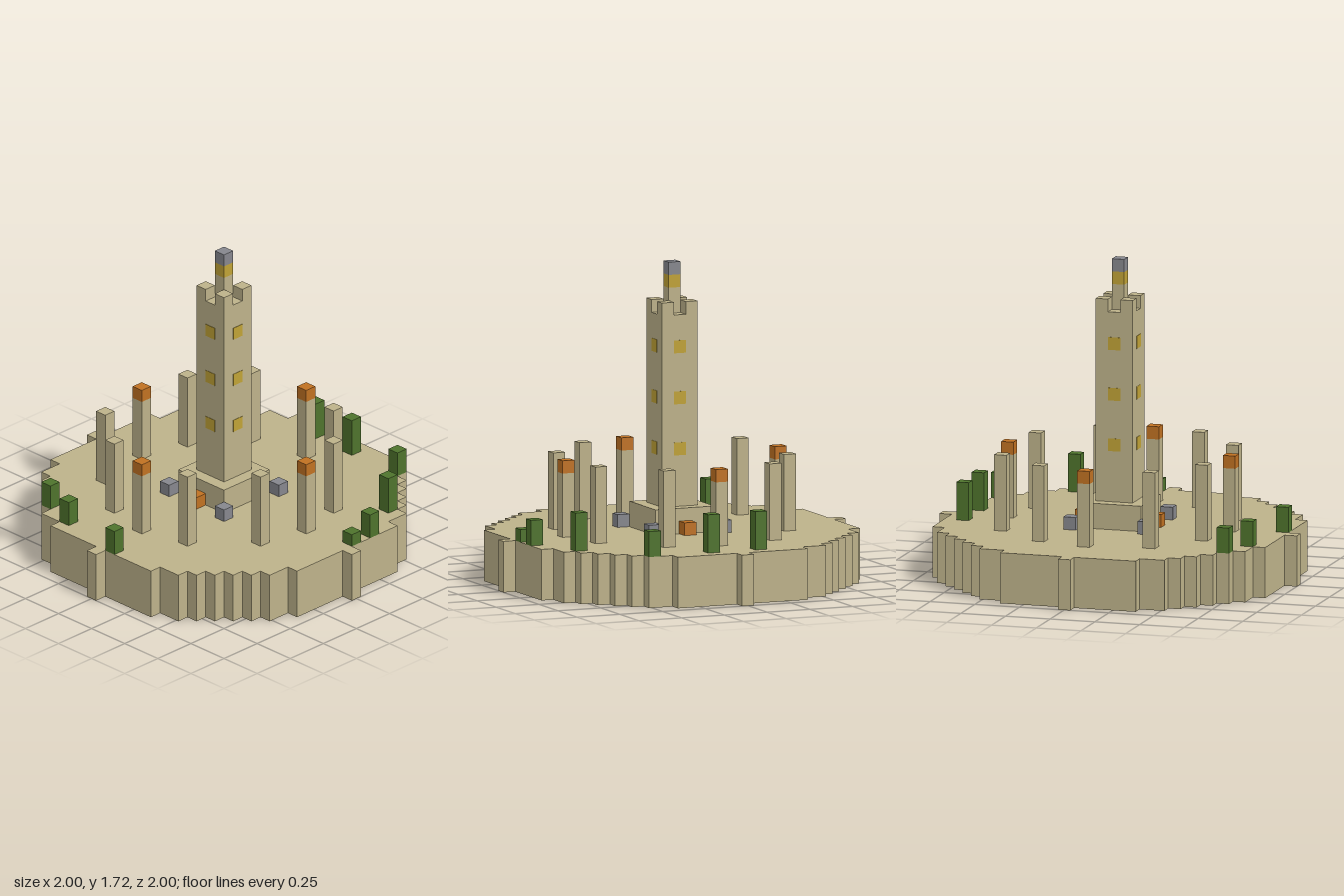
import * as THREE from 'three';

// One block of the grid; the island is 29 blocks wide
const U = 2 / 29;

const mat = (name, color) => {
  const m = new THREE.MeshStandardMaterial({ color });
  m.name = name;
  return m;
};

export function createModel() {
  const sand = mat('sandstone', 0xbdb28a);
  const green = mat('cactusGreen', 0x4e732c);
  const orange = mat('orange', 0xc07122);
  const grey = mat('grey', 0x86878d);
  const yellow = mat('yellow', 0xc0a236);

  const model = new THREE.Group();
  model.name = 'desertTower';

  const add = (parent, name, geometry, material) => {
    const mesh = new THREE.Mesh(geometry, material);
    mesh.name = name;
    parent.add(mesh);
    return mesh;
  };
  const group = (name) => {
    const g = new THREE.Group();
    g.name = name;
    model.add(g);
    return g;
  };
  // Square block column centred on grid cell (x, z), from level y0 to y1
  const block = (parent, name, material, x, z, y0, y1, width = 1) =>
    add(parent, name, new THREE.BoxGeometry(width * U, (y1 - y0) * U, width * U), material)
      .position.set(x * U, (y0 + y1) / 2 * U, z * U);

  // Round island with a stepped rim, four blocks high
  const R = 14;
  const halfWidth = (z) => Math.floor(Math.sqrt(R * R - z * z)) + 0.5;
  const rim = [];
  for (let z = -R; z <= R; z++) {
    for (const edge of [z - 0.5, z + 0.5]) {
      const last = rim[rim.length - 1];
      if (!last || last[0] !== halfWidth(z) || last[1] !== edge) rim.push([halfWidth(z), edge]);
    }
  }
  const outline = [...rim, ...rim.map(([x, z]) => [-x, z]).reverse()];
  const island = new THREE.ExtrudeGeometry(
    new THREE.Shape(outline.map(([x, z]) => new THREE.Vector2(x * U, z * U))),
    { depth: 4 * U, bevelEnabled: false }
  );
  island.rotateX(-Math.PI / 2);
  add(model, 'island', island, sand);

  // Tower: plinth, shaft, corner battlements and lantern
  const tower = group('tower');
  block(tower, 'plinth', sand, 0, 0, 4, 6, 5);
  block(tower, 'shaft', sand, 0, 0, 6, 21, 3);
  for (const x of [-1, 1]) for (const z of [-1, 1]) block(tower, 'battlement', sand, x, z, 21, 22);
  block(tower, 'lanternPost', sand, 0, 0, 21, 23);
  block(tower, 'lantern', yellow, 0, 0, 23, 24);
  block(tower, 'lanternCap', grey, 0, 0, 24, 25);

  // Lit windows, three on each side of the shaft
  const pane = new THREE.BoxGeometry(U, U, 0.004);
  for (let side = 0; side < 4; side++) {
    const a = side * Math.PI / 2;
    for (const level of [10.5, 14.5, 18.5]) {
      const window = add(tower, 'window', pane, yellow);
      window.position.set(Math.sin(a) * 1.5 * U, level * U, Math.cos(a) * 1.5 * U);
      window.rotation.y = a;
    }
  }

  // Small blocks on the ground around the plinth
  const ground = group('groundBlocks');
  for (const x of [-3, 3]) {
    for (const z of [-3, 3]) block(ground, 'greyBlock', grey, x, z, 4, 5);
    block(ground, 'orangeBlock', orange, x, 0, 4, 5);
  }

  // Ring of pillars, the four on the axes capped in orange
  const pillars = group('pillars');
  for (const [x, z] of [[9, 0], [-9, 0], [0, 9], [0, -9]]) {
    block(pillars, 'cappedPillar', sand, x, z, 4, 9);
    block(pillars, 'pillarCap', orange, x, z, 9, 10);
  }
  for (const [x, z] of [[8, 4], [4, 8], [-4, 8], [-8, 4], [-8, -4], [-5, -8], [4, -8], [8, -5]]) {
    block(pillars, 'pillar', sand, x, z, 4, 10);
  }

  // Cacti near the rim: x, z, height
  const cacti = group('cacti');
  for (const [x, z, h] of [
    [-11, -8, 2], [-12, -5, 2], [-13, 1, 2], [12, -2, 3], [12, 2, 3],
    [12, 7, 2], [7, 11, 3], [1, 13, 1], [3, 13, 2],
  ]) block(cacti, 'cactus', green, x, z, 4, 4 + h);

  return model;
}
